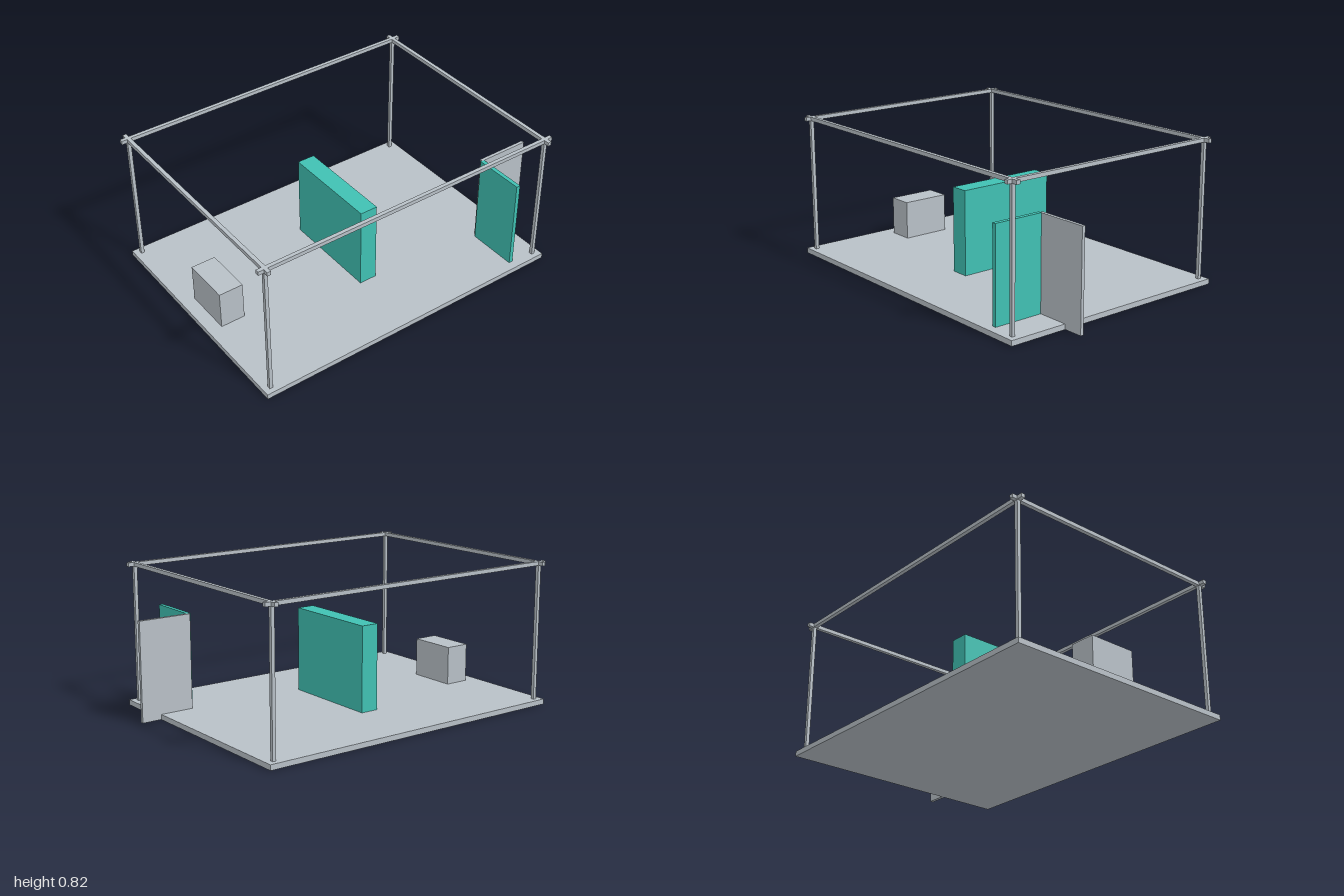
import * as THREE from 'three';

const grey = new THREE.MeshStandardMaterial({ color: 0xb8c0c7 });
grey.name = 'light grey';
const teal = new THREE.MeshStandardMaterial({ color: 0x40c1b3 });
teal.name = 'teal';

// Box given by its [min, max] range on each axis
function box(name, material, [x0, x1], [y0, y1], [z0, z1]) {
  const mesh = new THREE.Mesh(new THREE.BoxGeometry(x1 - x0, y1 - y0, z1 - z0), material);
  mesh.position.set((x0 + x1) / 2, (y0 + y1) / 2, (z0 + z1) / 2);
  mesh.name = name;
  return mesh;
}

export function createModel() {
  const model = new THREE.Group();
  model.name = 'exhibitionBooth';

  const floorX = [-0.705, 0.705], floorZ = [-0.885, 1];
  const around = (c, half = 0.011) => [c - half, c + half];
  const railY = [0.801, 0.823];
  const sides = { right: -0.665, left: 0.665 };
  const ends = { back: -0.841, front: 0.957 };

  model.add(box('floor', grey, floorX, [0, 0.03], floorZ));

  // Open frame: corner posts and overhead rails that cross past the corners
  const frame = new THREE.Group();
  frame.name = 'frame';
  for (const [side, x] of Object.entries(sides)) {
    frame.add(box(`${side}Rail`, grey, around(x), railY, floorZ));
    for (const [end, z] of Object.entries(ends))
      frame.add(box(`${end}${side}Post`, grey, around(x, 0.01), [0.03, railY[0]], around(z, 0.01)));
  }
  for (const [end, z] of Object.entries(ends))
    frame.add(box(`${end}Rail`, grey, floorX, railY, around(z)));
  model.add(frame);

  // Furniture and partition panels
  model.add(
    box('centreWall', teal, [-0.297, 0.295], [0.001, 0.518], [0.004, 0.109]),
    box('counter', grey, [-0.143, 0.14], [0.001, 0.253], [0.776, 0.92]),
    box('cabinFrontPanel', teal, [0.357, 0.655], [0.001, 0.566], [-0.701, -0.677]),
    box('cabinSidePanel', grey, [0.341, 0.36], [0.001, 0.566], [-1, -0.688]),
  );
  return model;
}
